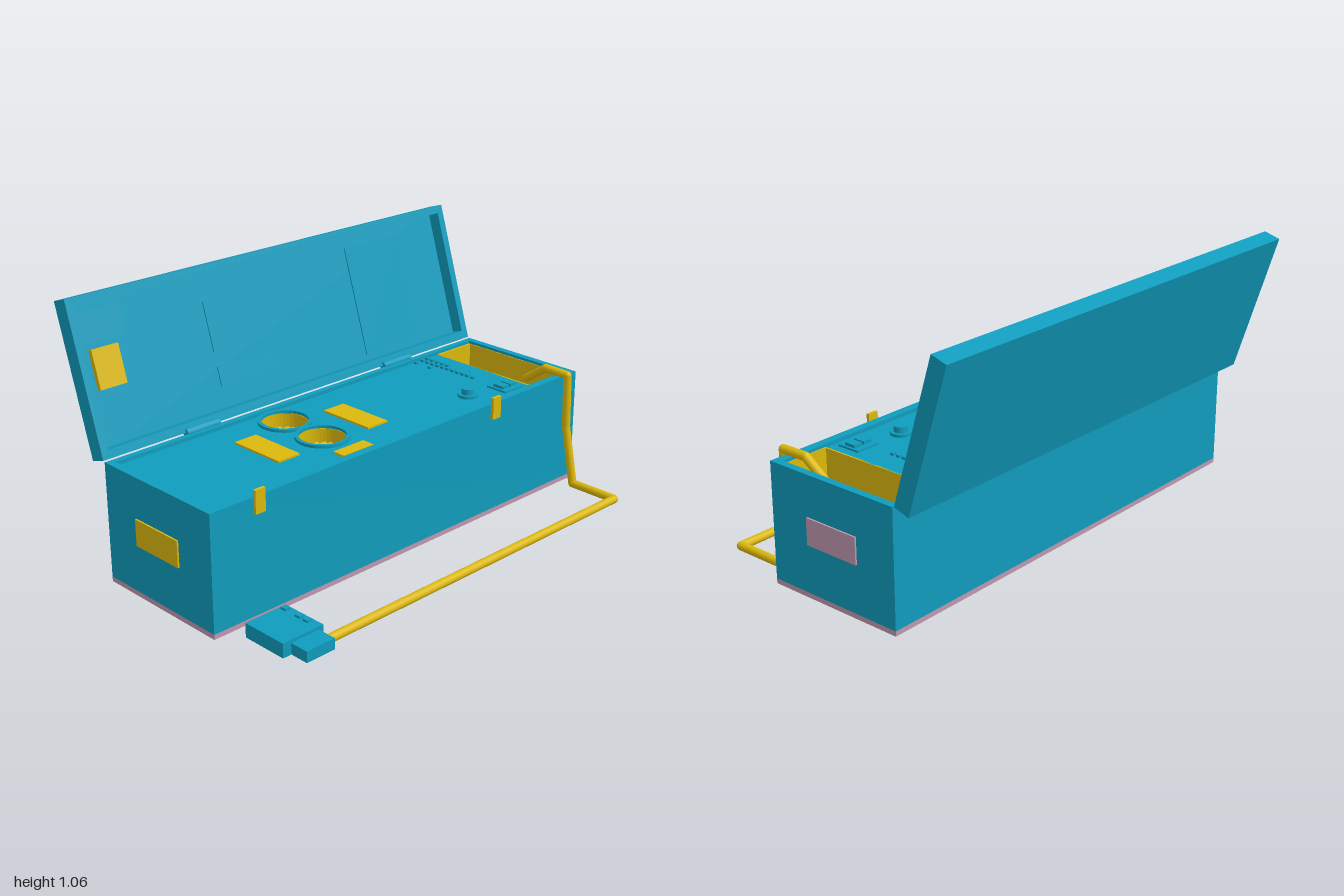
import * as THREE from 'three';

const mat = (name, color, side = THREE.FrontSide) => {
  const m = new THREE.MeshStandardMaterial({ color, side });
  m.name = name;
  return m;
};

export function createModel() {
  const model = new THREE.Group();
  model.name = 'equipmentCase';
  const blue = mat('caseBlue', 0x109cbd);
  const yellow = mat('fittingYellow', 0xdcb80c);
  const pink = mat('basePink', 0xbf98ae);

  const add = (parent, name, geo, m, x = 0, y = 0, z = 0) => {
    const mesh = new THREE.Mesh(geo, m);
    mesh.name = name;
    mesh.position.set(x, y, z);
    parent.add(mesh);
    return mesh;
  };
  // Box given by its limits on each axis
  const box = (parent, name, m, x0, x1, y0, y1, z0, z1) =>
    add(parent, name, new THREE.BoxGeometry(x1 - x0, y1 - y0, z1 - z0), m,
      (x0 + x1) / 2, (y0 + y1) / 2, (z0 + z1) / 2);
  const rect = (P, x0, x1, y0, y1) => {
    const p = new P();
    p.moveTo(x0, y0);
    p.lineTo(x1, y0);
    p.lineTo(x1, y1);
    p.lineTo(x0, y1);
    p.closePath();
    return p;
  };
  const circle = (x, y, r) => new THREE.Path().absarc(x, y, r, 0, Math.PI * 2, true);
  const extrude = (shape, depth) =>
    new THREE.ExtrudeGeometry(shape, { depth, bevelEnabled: false, curveSegments: 20 });

  // Case: base plate and hollow walls
  const body = new THREE.Group();
  body.name = 'caseBody';
  model.add(body);
  box(body, 'basePlate', pink, -0.99, 0.99, 0, 0.02, -0.342, 0.262);
  const wall = rect(THREE.Shape, -0.99, 0.99, -0.262, 0.342);
  wall.holes.push(rect(THREE.Path, -0.96, 0.96, -0.226, 0.316));
  add(body, 'walls', extrude(wall, 0.467).rotateX(-Math.PI / 2), blue, 0, 0.02, 0);

  // Recessed control panel with two round openings
  const top = 0.472;
  const wells = [-0.2, 0.015];
  const panel = rect(THREE.Shape, -0.96, 0.755, -0.226, 0.316);
  wells.forEach(z => panel.holes.push(circle(-0.24, -z, 0.095)));
  add(body, 'controlPanel', extrude(panel, 0.02).rotateX(-Math.PI / 2), blue, 0, top - 0.02, 0);

  // Round wells with collars, ribbed floors and centre studs
  for (const z of wells) {
    const well = new THREE.Group();
    well.name = 'roundWell';
    well.position.set(-0.24, top, z);
    body.add(well);
    const ring = new THREE.Shape().absarc(0, 0, 0.108, 0, Math.PI * 2, false);
    ring.holes.push(circle(0, 0, 0.093));
    add(well, 'collar', extrude(ring, 0.012).rotateX(-Math.PI / 2), blue);
    const cup = new THREE.Shape().absarc(0, 0, 0.1, 0, Math.PI * 2, false);
    cup.holes.push(circle(0, 0, 0.092));
    add(well, 'cupWall', extrude(cup, 0.08).rotateX(-Math.PI / 2), yellow, 0, -0.081, 0);
    add(well, 'cupFloor', new THREE.CylinderGeometry(0.1, 0.1, 0.01, 32), yellow, 0, -0.085, 0);
    for (let i = -4; i <= 4; i++) {
      const rz = i * 0.02;
      const len = 2 * Math.sqrt(0.092 ** 2 - rz * rz);
      add(well, 'rib', new THREE.CylinderGeometry(0.01, 0.01, len, 10).rotateZ(Math.PI / 2), yellow, 0, -0.065, rz);
    }
    add(well, 'stud', new THREE.CylinderGeometry(0.014, 0.014, 0.03, 16), yellow, 0, -0.045, 0);
    box(well, 'tab', yellow, -0.015, 0.015, -0.06, -0.02, 0.06, 0.09);
  }

  // Yellow label plates
  box(body, 'labelPlate', yellow, -0.52, -0.415, top, top + 0.008, -0.17, 0.08);
  box(body, 'labelPlate', yellow, -0.06, 0.045, top, top + 0.008, -0.17, 0.08);
  box(body, 'smallLabel', yellow, -0.315, -0.16, top, top + 0.008, 0.155, 0.21);

  // Knob, switches and indicator buttons
  add(body, 'knobBase', new THREE.CylinderGeometry(0.042, 0.042, 0.012, 24), blue, 0.48, top + 0.006, 0.11);
  add(body, 'knob', new THREE.CylinderGeometry(0.026, 0.028, 0.03, 24), blue, 0.48, top + 0.02, 0.11);
  box(body, 'switchPlate', blue, 0.61, 0.715, top, top + 0.008, 0.1, 0.2);
  for (const x of [0.64, 0.687])
    box(body, 'switch', blue, x - 0.019, x + 0.019, top, top + 0.02, 0.125, 0.175);
  const button = (x, z) => box(body, 'button', blue, x - 0.008, x + 0.008, top, top + 0.01, z - 0.008, z + 0.008);
  for (let i = 0; i < 11; i++) {
    button(0.645, -0.3 + i * 0.029);
    if (i < 5) button(0.675, -0.3 + i * 0.029);
  }
  button(0.605, -0.3);
  button(0.605, -0.22);

  // Storage compartment with yellow lining and pink floor
  box(body, 'compartmentFloor', pink, 0.755, 0.96, 0.2, 0.21, -0.316, 0.226);
  box(body, 'liningBack', yellow, 0.755, 0.96, 0.2, 0.475, -0.316, -0.306);
  box(body, 'liningFront', yellow, 0.755, 0.96, 0.2, 0.475, 0.222, 0.226);
  box(body, 'liningInner', yellow, 0.75, 0.757, 0.2, top, -0.316, 0.226);
  box(body, 'liningOuter', yellow, 0.956, 0.96, 0.2, 0.475, -0.316, 0.226);

  // Side plates and front latches
  box(body, 'sidePlateLeft', pink, 0.99, 0.997, 0.215, 0.322, -0.163, 0.08);
  box(body, 'sidePlateRight', yellow, -0.997, -0.99, 0.215, 0.322, -0.163, 0.08);
  for (const x of [-0.773, 0.472])
    box(body, 'latch', yellow, x - 0.023, x + 0.023, 0.423, 0.515, 0.262, 0.275);

  // Hinge barrels
  for (const x of [-0.53, 0.53])
    add(model, 'hinge', new THREE.CylinderGeometry(0.017, 0.017, 0.16, 14).rotateZ(Math.PI / 2), blue, x, 0.489, -0.352);

  // Open lid: back sheet, rim and inner fittings
  const lid = new THREE.Group();
  lid.name = 'lid';
  lid.position.set(0, 0.49, -0.35);
  lid.rotation.x = -0.302;
  model.add(lid);
  box(lid, 'lidSheet', blue, -0.99, 0.99, 0, 0.602, -0.07, -0.055);
  const rim = rect(THREE.Shape, -0.99, 0.99, 0, 0.602);
  rim.holes.push(rect(THREE.Path, -0.958, 0.958, 0.034, 0.57));
  add(lid, 'lidRim', extrude(rim, 0.055), blue, 0, 0, -0.055);
  box(lid, 'lidLabel', yellow, -0.908, -0.788, 0.245, 0.398, -0.055, -0.035);
  for (const [x0, x1, y0, y1] of [
    [-0.95, -0.73, 0.42, 0.54], [-0.36, -0.06, 0.26, 0.46],
    [-0.36, -0.06, 0.12, 0.2], [0.42, 0.73, 0.06, 0.52],
  ]) box(lid, 'lidSheetPocket', blue, x0, x1, y0, y1, -0.055, -0.05);

  // Cable: straight runs with rounded elbows
  const cable = new THREE.Group();
  cable.name = 'cable';
  model.add(cable);
  const path = [
    [0.903, 0.43, 0.07], [0.903, 0.5, 0.17], [0.903, 0.498, 0.287], [0.903, 0.27, 0.293],
    [0.903, 0.022, 0.343], [0.903, 0.022, 0.563], [-0.74, 0.022, 0.563],
  ].map(p => new THREE.Vector3(...p));
  path.forEach((p, i) => {
    add(cable, 'elbow', new THREE.SphereGeometry(0.0175, 16, 10), yellow, p.x, p.y, p.z);
    if (i === 0) return;
    const run = new THREE.LineCurve3(path[i - 1], p);
    add(cable, 'cableRun', new THREE.TubeGeometry(run, 1, 0.0175, 16), yellow);
  });

  // Hand controller on the ground
  const pad = new THREE.Group();
  pad.name = 'handController';
  model.add(pad);
  box(pad, 'controllerBody', blue, -0.9, -0.712, 0, 0.058, 0.325, 0.522);
  box(pad, 'cableSocket', blue, -0.862, -0.732, 0, 0.045, 0.522, 0.602);
  for (const z of [0.35, 0.425, 0.465])
    box(pad, 'controllerButton', blue, -0.747, -0.723, 0.058, 0.067, z - 0.013, z + 0.013);

  return model;
}
